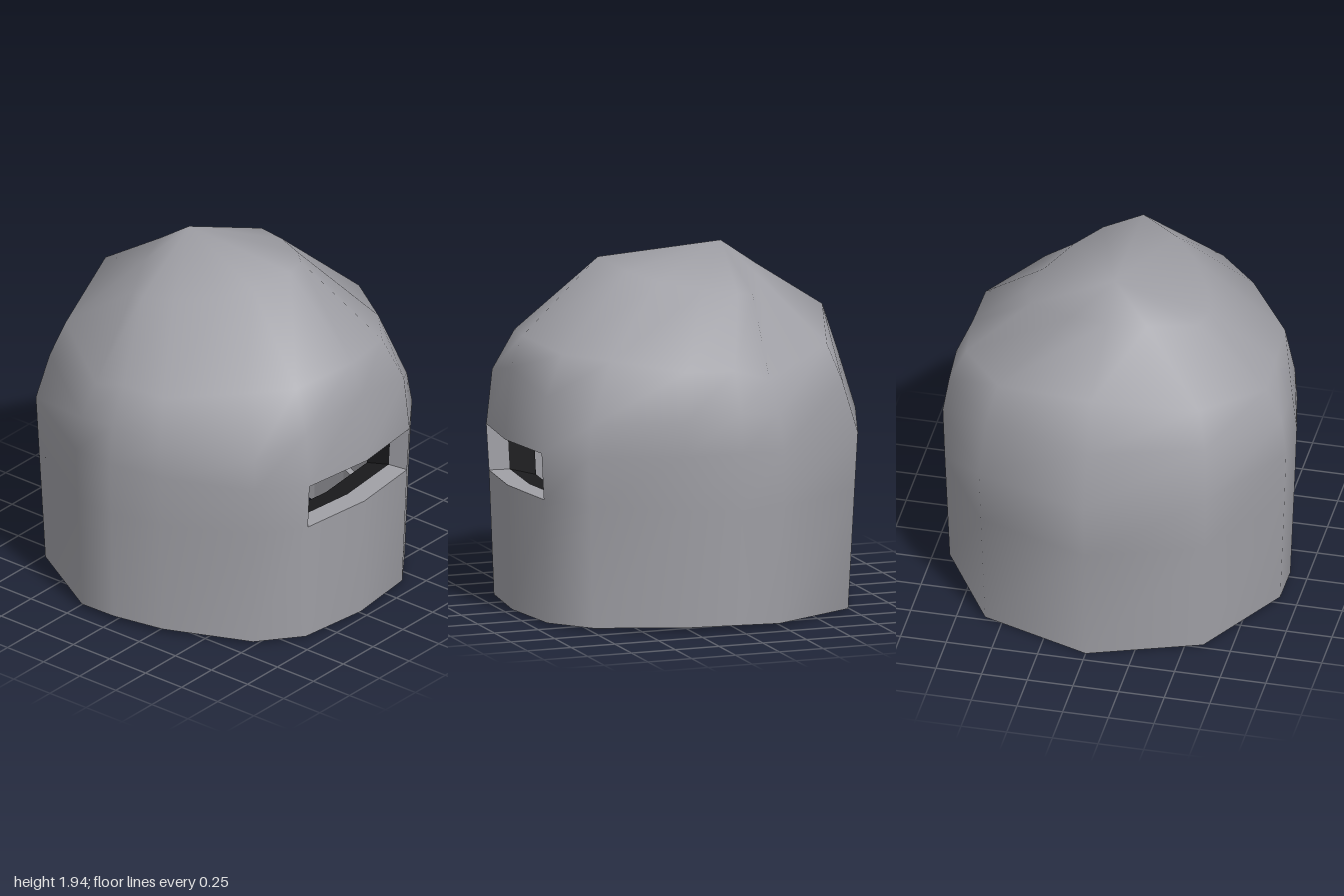
import * as THREE from 'three';

// Turn a right-hand half ring (front centre to back centre) into a full ring
const mirrored = half => [...half, ...half.slice(1, -1).reverse().map(([x, ...rest]) => [-x, ...rest])];

// Outline of the walls seen from above (x, z)
const outline = mirrored([[0, 1], [0.42, 0.95], [0.66, 0.77], [0.88, 0.3], [0.945, 0], [0.94, -0.24], [0.62, -0.78], [0, -1]]);
const N = outline.length;

// Wall rings: half width, front depth, back depth, then height at front, side and back
const wallRings = [
  [0.91, 0.96, 0.94, 0.01, 0.03, 0.0],
  [0.935, 0.985, 0.98, 0.69, 0.66, 0.66],
  [0.945, 1.0, 1.0, 0.94, 0.97, 0.97],
].map(([w, zf, zb, yf, ys, yb]) => outline.map(([x, z]) => [
  x * w / 0.945,
  ys + ((z > 0 ? yf : yb) - ys) * Math.abs(z),
  z * (z > 0 ? zf : zb),
]));

// Dome rings (x, y, z)
const forehead = mirrored([
  [0, 1.33, 0.97], [0.41, 1.24, 0.92], [0.64, 1.12, 0.75], [0.87, 1.15, 0.29],
  [0.92, 1.19, 0], [0.91, 1.16, -0.22], [0.6, 1.25, -0.7], [0, 1.27, -0.905],
]);
const brow = mirrored([
  [0, 1.5, 0.9], [0.36, 1.46, 0.81], [0.57, 1.45, 0.61], [0.82, 1.41, 0.27],
  [0.83, 1.4, 0], [0.82, 1.34, -0.2], [0.55, 1.45, -0.63], [0, 1.55, -0.81],
]);
const crown = mirrored([
  [0, 1.9, 0.47], [0.2, 1.85, 0.38], [0.33, 1.81, 0.25], [0.45, 1.77, 0.04],
  [0.5, 1.75, -0.14], [0.46, 1.73, -0.24], [0.21, 1.77, -0.37], [0, 1.8, -0.43],
]);
const apex = [0, 1.94, -0.23];
const SLOT_ROW = 1;
const isSlot = (i, j) => i === SLOT_ROW && (j === 0 || j === N - 1);

const outer = [...wallRings, forehead, brow, crown];
const shrink = ([x, y, z]) => [x * (z > 0.8 ? 0.96 : 0.88), y > 1 ? 1 + (y - 1) * 0.88 : y, z * 0.88];
const inner = outer.map(r => r.map(shrink));

// Smooth closed dome with the slot left open
function shell(grid, top, inward) {
  const index = [];
  const tri = (a, b, c) => index.push(...(inward ? [a, c, b] : [a, b, c]));
  grid.forEach((_, i) => {
    for (let j = 0; j < N; j++) {
      const k = (j + 1) % N, a = i * N + j, b = i * N + k;
      if (i === grid.length - 1) tri(a, b, grid.length * N);
      else if (!isSlot(i, j)) {
        tri(a, b, b + N);
        tri(a, b + N, a + N);
      }
    }
  });
  const g = new THREE.BufferGeometry();
  g.setAttribute('position', new THREE.Float32BufferAttribute([...grid.flat(2), ...top], 3));
  g.setIndex(index);
  g.computeVertexNormals();
  return g;
}

// Separate flat quads, corners counter-clockwise
function quads(list) {
  const g = new THREE.BufferGeometry();
  const pos = list.flatMap(([a, b, c, d]) => [a, b, c, a, c, d].flat());
  g.setAttribute('position', new THREE.Float32BufferAttribute(pos, 3));
  g.computeVertexNormals();
  return g;
}

// Strip of quads joining two full rings
const band = (a, b) => quads(a.map((_, j) => {
  const k = (j + 1) % N;
  return [a[k], a[j], b[j], b[k]];
}));

// Four walls lining the slot from a front grid to a back grid
function slotWalls(front, back) {
  const lo = SLOT_ROW, hi = SLOT_ROW + 1, L = N - 1;
  const walls = [
    [front[lo][1], front[hi][1], back[hi][1], back[lo][1]],
    [front[hi][L], front[lo][L], back[lo][L], back[hi][L]],
  ];
  for (const [l, r] of [[L, 0], [0, 1]]) {
    walls.push([front[lo][l], front[lo][r], back[lo][r], back[lo][l]]);
    walls.push([front[hi][r], front[hi][l], back[hi][l], back[hi][r]]);
  }
  return quads(walls);
}

export function createModel() {
  const group = new THREE.Group();
  group.name = 'helmet';
  const steel = new THREE.MeshStandardMaterial({ color: 0xa0a0a6 });
  steel.name = 'steel grey';
  const black = new THREE.MeshStandardMaterial({ color: 0x1c1c1e, side: THREE.DoubleSide });
  black.name = 'black';
  const add = (name, geometry, material = steel) => {
    const mesh = new THREE.Mesh(geometry, material);
    mesh.name = name;
    group.add(mesh);
  };

  add('outerShell', shell(outer, apex, false));
  add('innerShell', shell(inner, shrink(apex), true));

  // Thicker lip around the neck opening
  const lipLow = outer[0].map(([x, y, z]) => [x * 0.85, y, z * 0.85]);
  const lipHigh = lipLow.map(([x, , z]) => [x, 0.33, z]);
  const lipBack = outer[0].map(([x, , z]) => [x * 0.93, 0.33, z * 0.93]);
  add('bottomRim', band(outer[0], lipLow));
  add('lipWall', band(lipLow, lipHigh));
  add('lipLedge', band(lipHigh, lipBack));

  // Wall thickness around the eye slot, and the dark frame behind it, its floor sloping down
  const frameBack = inner.map((r, i) => r.map(([x, y, z]) => [x, i === SLOT_ROW ? y - 0.04 : y, z - 0.15]));
  add('eyeSlotEdges', slotWalls(outer, inner));
  add('eyeSlotFrame', slotWalls(inner, frameBack), black);

  return group;
}
